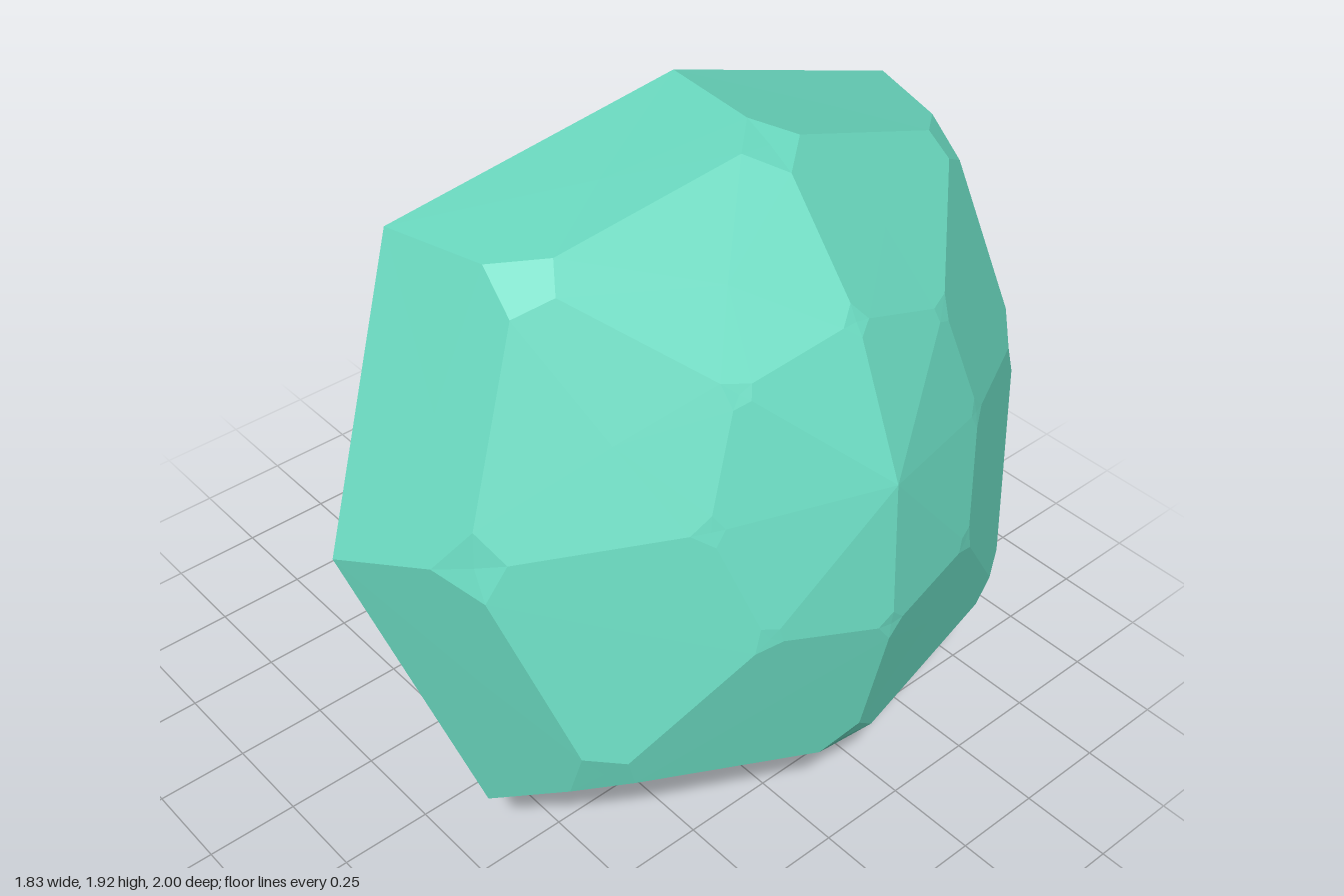
import * as THREE from 'three';

const V = (x, y, z) => new THREE.Vector3(x, y, z);

// Faceted skin over a list of four-cornered rings, closed at both ends
function loft(rings) {
  const n = rings[0].length;
  const index = [];
  for (let r = 0; r < rings.length - 1; r++) {
    for (let i = 0; i < n; i++) {
      const a = r * n + i, b = r * n + (i + 1) % n;
      index.push(a, b, b + n, a, b + n, a + n);
    }
  }
  const t = (rings.length - 1) * n;
  index.push(0, 2, 1, 0, 3, 2, t, t + 1, t + 2, t, t + 2, t + 3);
  const geo = new THREE.BufferGeometry();
  geo.setAttribute('position', new THREE.Float32BufferAttribute(rings.flat(2), 3));
  geo.setIndex(index);
  const flat = geo.toNonIndexed();
  flat.computeVertexNormals();
  return flat;
}

// Domed cap: irregular octagonal rim and two rings whose corners are chamfered to diamonds
function capGeometry() {
  const centre = V(0.22, 1.05, 0);
  const axis = V(0.95, 0.31, 0).normalize();
  const along = h => centre.clone().addScaledVector(axis, h);
  const apex = along(0.68), hollow = along(0.22);
  const rim = [
    V(-0.04, 1.78, 0.69), V(0.03, 1.92, -0.07), V(0.0, 1.65, -0.81), V(0.18, 0.95, -1.0),
    V(0.45, 0.32, -0.69), V(0.59, 0.26, 0.08), V(0.40, 0.45, 0.82), V(0.12, 1.12, 1.0),
  ];
  const n = rim.length;

  // Ring that follows the rim, drawn in and raised along the axis
  const ring = (ratio, height, share) => rim.map(p => {
    const d = p.clone().sub(centre);
    const h = d.dot(axis);
    return along(height + share * h).addScaledVector(d.addScaledVector(axis, -h), ratio);
  });
  const outer = ring(0.86, 0.32, 1);
  const inner = ring(0.42, 0.565, 0.5);

  // Four chamfer points around each ring corner, on the edges that meet there
  const chamfer = (pts, below, above, width) => pts.map((p, k) => {
    const step = q => p.clone().addScaledVector(q.clone().sub(p).normalize(), width);
    return {
      down: step(below[k]), up: step(above[k]),
      next: step(pts[(k + 1) % n]), prev: step(pts[(k + n - 1) % n]),
    };
  });
  const lo = chamfer(outer, rim, inner, 0.09);
  const hi = chamfer(inner, outer, rim.map(() => apex), 0.04);

  // Facet given clockwise, fanned from its middle
  const position = [];
  const facet = (...pts) => {
    const mid = pts.reduce((s, p) => s.add(p), V(0, 0, 0)).divideScalar(pts.length);
    pts.forEach((p, i) => {
      for (const q of [mid, pts[(i + 1) % pts.length], p]) position.push(q.x, q.y, q.z);
    });
  };
  for (let k = 0; k < n; k++) {
    const j = (k + 1) % n;
    const a = lo[k], b = lo[j], c = hi[k], d = hi[j];
    facet(rim[k], rim[j], b.down, b.prev, a.next, a.down);
    facet(a.next, b.prev, b.up, d.down, d.prev, c.next, c.down, a.up);
    facet(c.next, d.prev, d.up, apex, c.up);
    for (const m of [a, c]) facet(m.down, m.next, m.up, m.prev);
    facet(rim[j], rim[k], hollow);
  }
  const geo = new THREE.BufferGeometry();
  geo.setAttribute('position', new THREE.Float32BufferAttribute(position, 3));
  geo.computeVertexNormals();
  return geo;
}

export function createModel() {
  const group = new THREE.Group();
  const capMaterial = new THREE.MeshStandardMaterial({ color: 0x69d7be });
  capMaterial.name = 'mint';
  const stemMaterial = new THREE.MeshStandardMaterial({ color: 0x0a918a });
  stemMaterial.name = 'teal';

  // Bent stem, corners ordered left, front, right, back
  const stem = new THREE.Mesh(loft([
    [[-0.92, 0.02, -0.23], [-0.60, 0.03, 0.15], [-0.19, 0.02, -0.13], [-0.51, 0.0, -0.51]],
    [[-0.73, 0.80, -0.20], [-0.53, 0.62, 0.10], [-0.20, 0.41, -0.13], [-0.45, 0.60, -0.45]],
    [[-0.51, 1.13, -0.13], [-0.33, 0.96, 0.13], [-0.07, 0.76, -0.10], [-0.26, 0.93, -0.36]],
    [[-0.15, 1.34, -0.09], [0.05, 1.13, 0.22], [0.13, 0.81, -0.06], [-0.04, 1.05, -0.33]],
    [[0.30, 1.46, -0.05], [0.42, 1.19, 0.25], [0.47, 0.89, 0.0], [0.38, 1.13, -0.31]],
  ]), stemMaterial);
  stem.name = 'stem';

  const cap = new THREE.Mesh(capGeometry(), capMaterial);
  cap.name = 'cap';

  group.add(stem, cap);
  return group;
}
